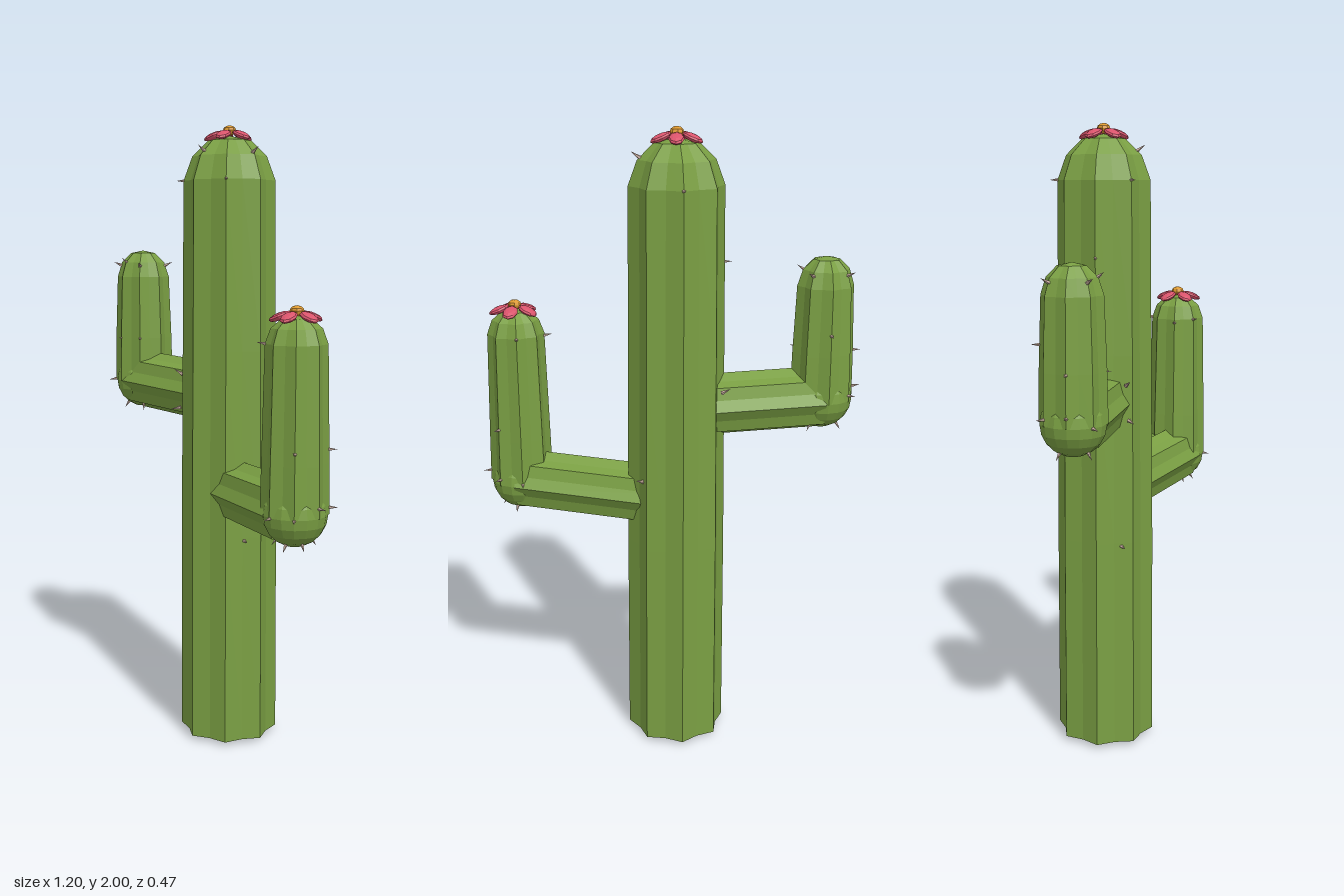
import * as THREE from 'three';

const mat = (name, color, flatShading = true) => {
  const m = new THREE.MeshStandardMaterial({ color, flatShading });
  m.name = name;
  return m;
};

export function createModel() {
  const green = mat('cactus green', 0x7a9f43);
  const pink = mat('petal pink', 0xd9536b);
  const gold = mat('flower gold', 0xdb982e);
  const pale = mat('spine beige', 0xcbb0a2);
  const root = new THREE.Group();
  root.name = 'cactus';

  const add = (parent, name, geometry, material) => {
    const m = new THREE.Mesh(geometry, material);
    m.name = name;
    parent.add(m);
    return m;
  };
  const group = (name, x, y, z) => {
    const g = new THREE.Group();
    g.name = name;
    g.position.set(x, y, z);
    root.add(g);
    return g;
  };

  // Fluted column: eight ridges with valleys pulled inward
  const fluted = (profile, valley = 0.87) => {
    const g = new THREE.LatheGeometry(profile.map(([r, y]) => new THREE.Vector2(r, y)), 16);
    const p = g.attributes.position;
    for (let i = 0; i < p.count; i++) {
      if (Math.floor(i / profile.length) % 2) {
        p.setX(i, p.getX(i) * valley);
        p.setZ(i, p.getZ(i) * valley);
      }
    }
    g.computeVertexNormals();
    return g;
  };

  // Spine pointing outward: [angle in degrees, height, radius, upward tilt in degrees]
  const spineGeo = new THREE.ConeGeometry(0.007, 0.034, 5);
  const up = new THREE.Vector3(0, 1, 0);
  const spines = (parent, list) => list.forEach(([deg, y, r, tilt]) => {
    const a = THREE.MathUtils.degToRad(deg), t = THREE.MathUtils.degToRad(tilt);
    const dir = new THREE.Vector3(Math.cos(a) * Math.cos(t), Math.sin(t), Math.sin(a) * Math.cos(t));
    const s = add(parent, 'spine', spineGeo, pale);
    s.position.set(Math.cos(a) * r, y, Math.sin(a) * r).addScaledVector(dir, 0.008);
    s.quaternion.setFromUnitVectors(up, dir);
  });

  // Five drooping petals around a golden centre
  const flower = (parent, y, turn) => {
    const f = new THREE.Group();
    f.name = 'flower';
    f.position.y = y;
    parent.add(f);
    for (let i = 0; i < 5; i++) {
      const pivot = new THREE.Group();
      pivot.name = 'petalPivot';
      pivot.rotation.y = -(turn + i * Math.PI * 0.4);
      f.add(pivot);
      const petal = add(pivot, 'petal', new THREE.SphereGeometry(1, 8, 6), pink);
      petal.scale.set(0.034, 0.011, 0.024);
      petal.position.set(0.049, -0.008, 0);
      petal.rotation.z = -0.38;
    }
    const c = add(f, 'flowerCentre', new THREE.SphereGeometry(0.021, 8, 6), gold);
    c.scale.y = 0.75;
    c.position.y = 0.008;
  };

  // Trunk
  const trunk = group('trunk', -0.005, 0, -0.055);
  add(trunk, 'trunkBody', fluted([
    [0, 0], [0.16, 0.014], [0.157, 0.7], [0.151, 1.3], [0.146, 1.83],
    [0.118, 1.905], [0.068, 1.953], [0, 1.968]]), green);
  flower(trunk, 1.976, -1.4);
  spines(trunk, [
    [0, 1.915, 0.115, 35], [270, 1.83, 0.146, 0], [180, 1.6, 0.145, 0], [45, 1.83, 0.143, 0],
    [135, 1.83, 0.143, 0], [148, 0.69, 0.145, 0], [20, 0.69, 0.14, 0], [90, 1.92, 0.108, 35]]);

  // Arms: sideways limb, rounded elbow and upright column
  const arm = (name, x, y, z, height, cap, startY) => {
    const g = group(name, x, y, z);
    const start = new THREE.Vector3(-0.005 - x, startY - y, -0.055 - z);
    const length = start.length();
    const limb = add(g, 'limb', fluted([[0, 0], [0.1, 0.005], [0.1, length - 0.03], [0, length]]), green);
    // Frame keeps one ridge exactly on top of the limb
    const axis = start.clone().normalize();
    const side = new THREE.Vector3().crossVectors(axis, up).normalize();
    limb.quaternion.setFromRotationMatrix(
      new THREE.Matrix4().makeBasis(side, axis, new THREE.Vector3().crossVectors(side, axis)));
    add(g, 'elbow', new THREE.SphereGeometry(0.097, 16, 10), green);
    add(g, 'upright', fluted([
      [0, -0.02], [0.101, 0], [0.098, 0.15], [0.09, height - cap],
      [0.074, height - cap * 0.45], [0.042, height - cap * 0.1], [0, height]]), green);
    return g;
  };

  const rightArm = arm('rightArm', -0.47, 1.16, -0.06, 0.45, 0.09, 1.145);
  spines(rightArm, [
    [180, 0.15, 0.097, 0], [90, 0.15, 0.085, 0], [45, 0.15, 0.095, 0], [270, 0.22, 0.095, 0],
    [180, 0.03, 0.1, 10], [135, 0.0, 0.1, -10], [225, 0.02, 0.1, 0], [315, 0.4, 0.08, 25],
    [45, 0.4, 0.08, 25], [135, 0.4, 0.08, 25], [225, 0.4, 0.08, 25], [90, 0.41, 0.07, 35],
    [120, -0.08, 0.055, -55], [215, -0.08, 0.055, -55], [40, -0.085, 0.05, -55], [320, -0.08, 0.055, -55]]);

  const leftArm = arm('leftArm', 0.485, 0.865, 0.12, 0.57, 0.08, 0.84);
  flower(leftArm, 0.575, 0);
  spines(leftArm, [
    [315, 0.19, 0.095, 0], [45, 0.19, 0.096, 0], [180, 0.48, 0.09, 10], [270, 0.49, 0.09, 10],
    [135, 0.49, 0.088, 10], [0, 0.03, 0.1, 0], [45, 0.0, 0.098, -10], [315, 0.02, 0.1, 0],
    [90, 0.0, 0.097, -10], [270, 0.01, 0.1, 0], [75, -0.085, 0.05, -55], [150, -0.08, 0.055, -55],
    [20, -0.08, 0.055, -55], [290, -0.08, 0.055, -55]]);

  // Spines where the limbs leave the trunk
  const joint = group('limbSpines', -0.005, 0, -0.055);
  spines(joint, [
    [145, 1.215, 0.165, 30], [215, 1.215, 0.165, 30], [142, 1.1, 0.17, -10], [325, 0.93, 0.15, 20]]);

  return root;
}
